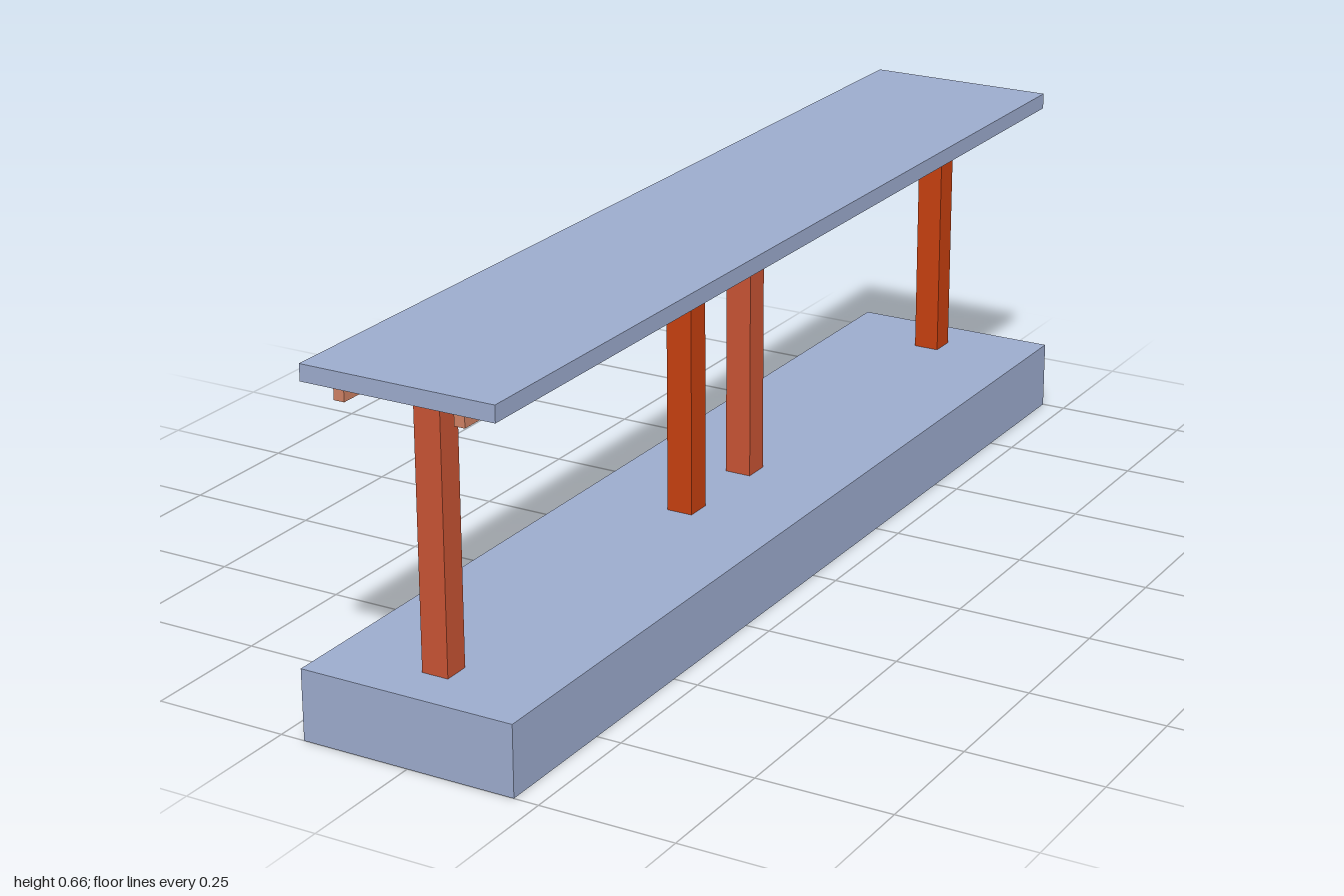
import * as THREE from 'three';

const paint = (name, color) => {
  const m = new THREE.MeshStandardMaterial({ color });
  m.name = name;
  return m;
};

export function createModel() {
  const blue = paint('slate blue', 0x9dacce);
  const rust = paint('rust', 0xc95434);
  const orange = paint('burnt orange', 0xc84010);
  const clay = paint('pale clay', 0xd08264);

  const model = new THREE.Group();
  model.name = 'platformShelter';

  // Box placed by its bottom height
  const box = (name, material, w, h, d, x, bottom, z) => {
    const mesh = new THREE.Mesh(new THREE.BoxGeometry(w, h, d), material);
    mesh.name = name;
    mesh.position.set(x, bottom + h / 2, z);
    model.add(mesh);
  };

  // Platform and roof slab
  box('platform', blue, 0.408, 0.13, 2, 0, 0, 0);
  box('roof', blue, 0.366, 0.03, 1.99, 0, 0.63, 0);

  // Two bays, each with a front and a rear post, crossbeams and a pair of rails
  for (const bay of [0.498, -0.498]) {
    for (const [side, material] of [[1, rust], [-1, orange]]) {
      const z = bay + side * 0.391;
      box('post', material, 0.05, 0.5, 0.05, 0, 0.13, z);
      box('crossbeam', rust, 0.25, 0.03, 0.025, 0, 0.6, z);
      box('rail', clay, 0.02, 0.022, 0.982, side * 0.113, 0.608, bay);
    }
  }
  return model;
}
